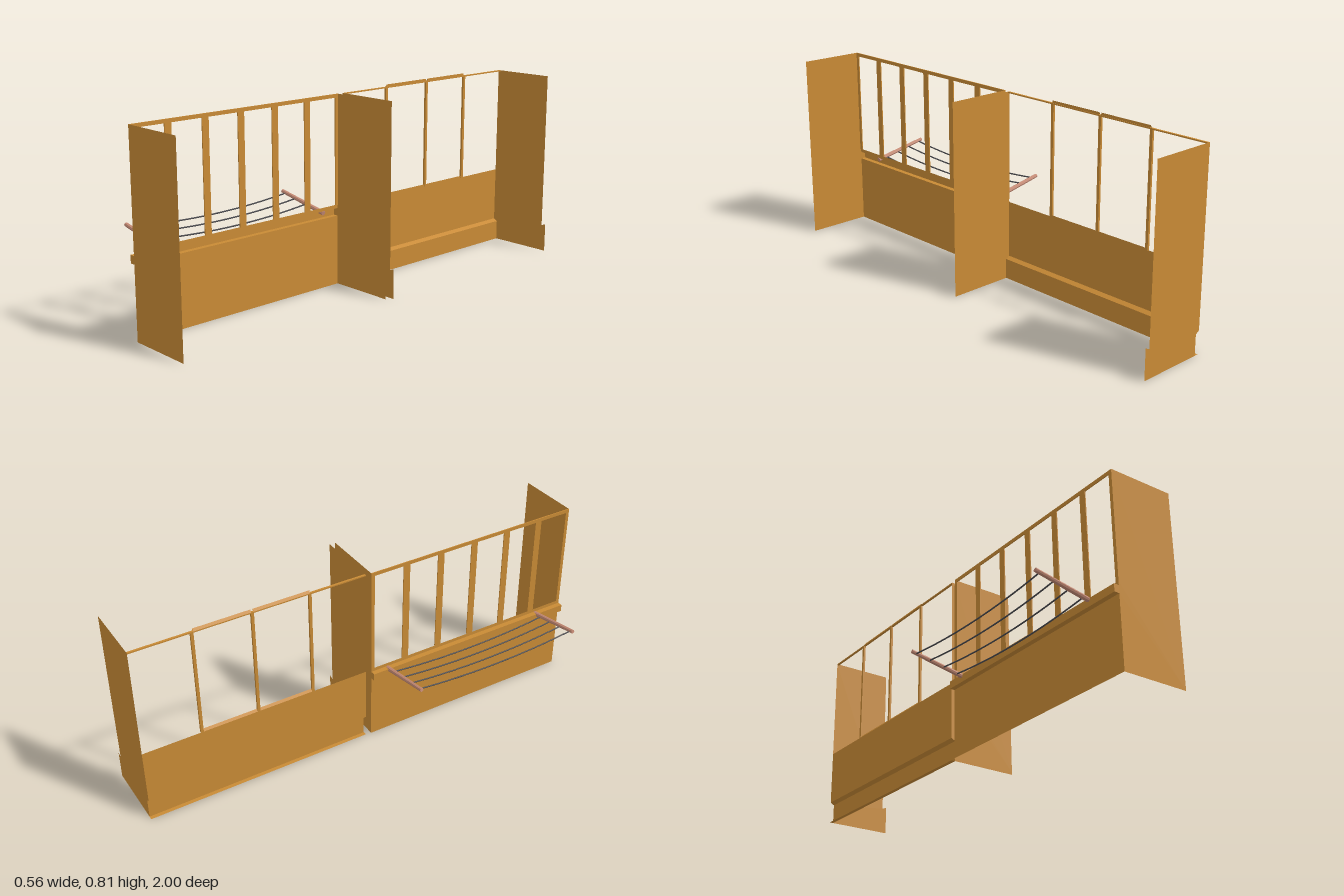
import * as THREE from 'three';

const ochre = new THREE.MeshStandardMaterial({ color: 0xc88a35, side: THREE.DoubleSide, flatShading: true });
const wood = new THREE.MeshStandardMaterial({ color: 0xc58a74, flatShading: true });
const wire = new THREE.MeshStandardMaterial({ color: 0x4a4a4e });

function add(parent, name, geometry, material) {
  const mesh = new THREE.Mesh(geometry, material);
  mesh.name = name;
  parent.add(mesh);
  return mesh;
}

// Box given by its extents on each axis
function box(parent, name, [x0, x1], [y0, y1], [z0, z1], material = ochre) {
  const mesh = add(parent, name, new THREE.BoxGeometry(x1 - x0, y1 - y0, z1 - z0), material);
  mesh.position.set((x0 + x1) / 2, (y0 + y1) / 2, (z0 + z1) / 2);
  return mesh;
}

// Thin sheet: a profile of [x, y] points swept along z
function sheet(parent, name, profile, z0, z1) {
  const positions = [], index = [];
  for (let i = 0; i < profile.length - 1; i++) {
    const [a, b] = [profile[i], profile[i + 1]];
    const n = positions.length / 3;
    positions.push(...a, z0, ...a, z1, ...b, z1, ...b, z0);
    index.push(n, n + 2, n + 1, n, n + 3, n + 2);
  }
  const g = new THREE.BufferGeometry();
  g.setAttribute('position', new THREE.Float32BufferAttribute(positions, 3));
  g.setIndex(index);
  g.computeVertexNormals();
  return add(parent, name, g, ochre);
}

// Flat upright end panel at a given z
function endPanel(parent, name, outline, z) {
  const shape = new THREE.Shape(outline.map(([x, y]) => new THREE.Vector2(x, y)));
  add(parent, name, new THREE.ShapeGeometry(shape), ochre).position.z = z;
}

function frontBay() {
  const bay = new THREE.Group();
  bay.name = 'frontBay';
  const z0 = 0.012, z1 = 1, x = -0.023, glass = [x, x + 0.004];

  // Lower wall with a hollow sill pushed outwards
  const profile = [[x, 0], [x, 0.293], [-0.045, 0.293], [-0.045, 0.325], [x, 0.325], [x, 0.34]];
  sheet(bay, 'lowerWall', profile, z0, z1);
  for (const z of [z0, z1]) {
    endPanel(bay, 'sidePartition', [...profile, [x, 0.8], [0.258, 0.8], [0.258, 0]], z);
  }

  // Window frame
  box(bay, 'topRail', glass, [0.785, 0.8], [z0, z1]);
  for (const z of [z0, z1 - 0.015]) box(bay, 'endPost', glass, [0.34, 0.785], [z, z + 0.015]);
  for (let i = 0; i < 5; i++) {
    const z = 0.178 + i * 0.165;
    box(bay, 'mullion', glass, [0.34, 0.785], [z - 0.015, z + 0.015]);
  }
  return bay;
}

function rearBay() {
  const bay = new THREE.Group();
  bay.name = 'rearBay';
  const z0 = -1, z1 = -0.013, x = -0.02, xIn = -0.003, glass = [x, x + 0.009];

  // Lower wall stepping inwards at the base, with a flange on the floor
  const profile = [[x, 0], [xIn, 0], [xIn, 0.085], [x, 0.095], [x, 0.333]];
  sheet(bay, 'lowerWall', profile, z0, z1);
  const outline = [[xIn, 0], [xIn, 0.085], [x, 0.095], [x, 0.8], [0.258, 0.8],
    [0.258, 0.117], [0.278, 0.125], [0.278, 0]];
  for (const z of [z0, z1]) endPanel(bay, 'sidePartition', outline, z);

  // Slim window frame
  box(bay, 'topRail', glass, [0.795, 0.8], [z0, z1]);
  for (const z of [-0.26, -0.505, -0.75]) {
    box(bay, 'mullion', glass, [0.333, 0.8], [z - 0.006, z + 0.006]);
  }

  // Wedge strips above and below the two middle panes
  for (const [a, b] of [[-0.745, -0.51], [-0.5, -0.26]]) {
    for (const y of [0.8, 0.333]) {
      sheet(bay, 'wedgeStrip', [[x, y], [-0.013, y + 0.01], [-0.013, y]], a, b);
    }
  }
  return bay;
}

function dryingRack() {
  const rack = new THREE.Group();
  rack.name = 'dryingRack';
  const armZ = [0.09, 0.865];
  const armY = (x) => 0.317 - (x + 0.023) * 0.19;

  // Sloping tapered arms
  for (const z of armZ) {
    const from = new THREE.Vector3(-0.023, armY(-0.023), z);
    const to = new THREE.Vector3(-0.278, armY(-0.278), z);
    const dir = to.clone().sub(from);
    const arm = add(rack, 'rackArm', new THREE.CylinderGeometry(0.008, 0.01, dir.length(), 8), wood);
    arm.position.copy(from).add(to).multiplyScalar(0.5);
    arm.quaternion.setFromUnitVectors(new THREE.Vector3(0, 1, 0), dir.normalize());
  }

  // Sagging lines between the arms
  for (const x of [-0.26, -0.197, -0.132, -0.068]) {
    const points = [];
    for (let i = 0; i <= 8; i++) {
      const t = i / 8;
      const sag = 0.022 * (1 - (2 * t - 1) ** 2);
      points.push(new THREE.Vector3(x, armY(x) - 0.003 - sag, THREE.MathUtils.lerp(armZ[0], armZ[1], t)));
    }
    add(rack, 'washingLine', new THREE.TubeGeometry(new THREE.CatmullRomCurve3(points), 24, 0.003, 6), wire);
  }
  return rack;
}

export function createModel() {
  const model = new THREE.Group();
  model.name = 'balconyWalls';
  model.add(frontBay(), rearBay(), dryingRack());
  return model;
}
